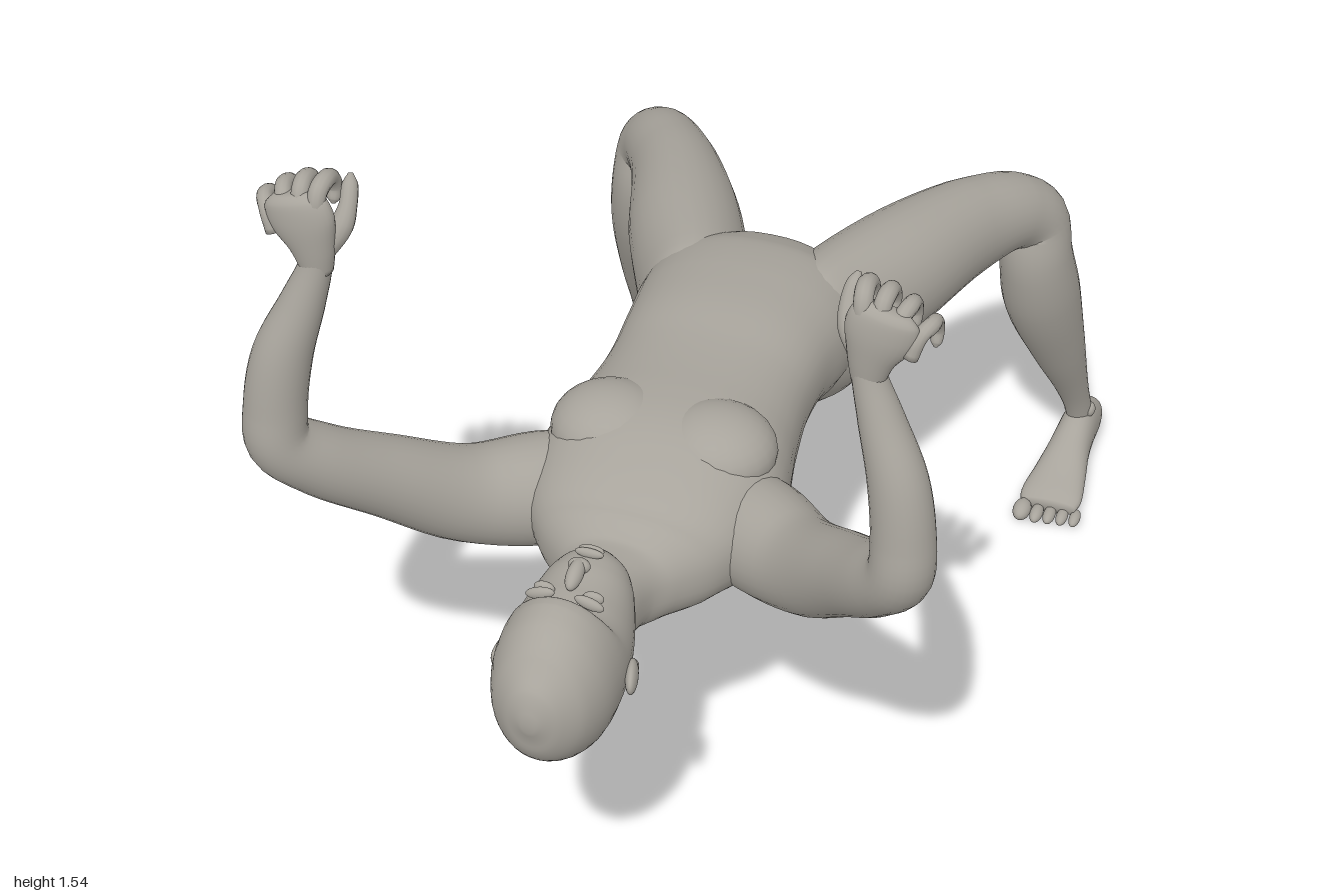
import * as THREE from 'three';

const skin = new THREE.MeshStandardMaterial({ color: 0xa8a49c });
skin.name = 'warm grey';

// Smooth skin over oval sections [x, y, z, radius along ref, radius across];
// side mirrors in x, power above 2 makes the ovals boxier.
function loft(name, rows, ref, { side = 1, power = 2, steps = 5, around = 28 } = {}) {
  const path = new THREE.CatmullRomCurve3(rows.map(r => new THREE.Vector3(r[0] * side, r[1], r[2])));
  const radii = new THREE.CatmullRomCurve3(
    rows.map(r => new THREE.Vector3(r[3], r[4], 0)), false, 'catmullrom', 0.5);
  const refDir = new THREE.Vector3(ref[0] * side, ref[1], ref[2]);
  const n = (rows.length - 1) * steps;
  const pos = [], index = [];
  const bend = v => Math.sign(v) * Math.abs(v) ** (2 / power);
  for (let i = 0; i <= n; i++) {
    const p = path.getPoint(i / n), t = path.getTangent(i / n), r = radii.getPoint(i / n);
    const a = refDir.clone().addScaledVector(t, -refDir.dot(t)).normalize();
    const b = t.clone().cross(a);
    for (let j = 0; j < around; j++) {
      const w = (j / around) * Math.PI * 2;
      const q = p.clone().addScaledVector(a, bend(Math.cos(w)) * r.x).addScaledVector(b, bend(Math.sin(w)) * r.y);
      pos.push(q.x, q.y, q.z);
      if (i < n) {
        const k = i * around + j, l = i * around + (j + 1) % around;
        index.push(k, l, k + around, l, l + around, k + around);
      }
    }
  }
  // Rounded-off ends
  const first = path.getPoint(0), last = path.getPoint(1), c = pos.length / 3;
  pos.push(first.x, first.y, first.z, last.x, last.y, last.z);
  for (let j = 0; j < around; j++) {
    const k = (j + 1) % around;
    index.push(c, k, j, c + 1, n * around + j, n * around + k);
  }
  const g = new THREE.BufferGeometry();
  g.setAttribute('position', new THREE.Float32BufferAttribute(pos, 3));
  g.setIndex(index);
  g.computeVertexNormals();
  const mesh = new THREE.Mesh(g, skin);
  mesh.name = name;
  return mesh;
}

function ball(name, x, y, z, rx, ry, rz) {
  const mesh = new THREE.Mesh(new THREE.SphereGeometry(1, 24, 16), skin);
  mesh.position.set(x, y, z);
  mesh.scale.set(rx, ry, rz);
  mesh.name = name;
  return mesh;
}

const X = [1, 0, 0];

function makeTorso() {
  const g = new THREE.Group();
  g.name = 'torso';
  // z, underside, top, half width from neck to crotch
  const rows = [
    [0.80, 0.70, 0.84, 0.06], [0.70, 0.695, 0.845, 0.068], [0.63, 0.688, 0.835, 0.078],
    [0.58, 0.67, 0.835, 0.108], [0.53, 0.65, 0.855, 0.158], [0.48, 0.636, 0.885, 0.195],
    [0.42, 0.63, 0.908, 0.212], [0.35, 0.63, 0.926, 0.22], [0.28, 0.633, 0.928, 0.212],
    [0.20, 0.645, 0.924, 0.197], [0.10, 0.665, 0.922, 0.186], [0, 0.67, 0.928, 0.19],
    [-0.10, 0.645, 0.922, 0.202], [-0.20, 0.635, 0.905, 0.2], [-0.27, 0.66, 0.875, 0.15],
    [-0.315, 0.71, 0.82, 0.07],
  ].map(([z, lo, hi, w]) => [0, (lo + hi) / 2, z, w, (hi - lo) / 2]);
  g.add(loft('trunkAndNeck', rows, X, { power: 2.3, around: 40 }));
  for (const s of [-1, 1]) g.add(ball('chestMuscle', s * 0.095, 0.865, 0.33, 0.105, 0.073, 0.1));
  return g;
}

function makeHead() {
  const g = new THREE.Group();
  g.name = 'head';
  // z, centre height, half width, half depth from crown to chin
  const rows = [
    [0.999, 0.787, 0.012, 0.015], [0.985, 0.787, 0.046, 0.062], [0.95, 0.784, 0.08, 0.108],
    [0.90, 0.781, 0.1, 0.14], [0.85, 0.78, 0.105, 0.149], [0.80, 0.787, 0.102, 0.138],
    [0.75, 0.812, 0.092, 0.106], [0.70, 0.84, 0.074, 0.073], [0.67, 0.853, 0.054, 0.05],
    [0.65, 0.86, 0.024, 0.022],
  ].map(([z, y, w, d]) => [0, y, z, w, d]);
  g.add(loft('skull', rows, X, { around: 36 }));
  const nose = ball('nose', 0, 0.918, 0.77, 0.014, 0.016, 0.032);
  nose.rotation.x = 0.25;
  g.add(nose, ball('noseTip', 0, 0.92, 0.75, 0.019, 0.014, 0.013));
  g.add(ball('upperLip', 0, 0.908, 0.703, 0.025, 0.009, 0.007));
  g.add(ball('lowerLip', 0, 0.906, 0.692, 0.022, 0.009, 0.007));
  for (const s of [-1, 1]) {
    g.add(ball('eye', s * 0.042, 0.903, 0.8, 0.018, 0.012, 0.008));
    const brow = ball('brow', s * 0.042, 0.908, 0.82, 0.026, 0.011, 0.008);
    brow.rotation.z = -s * 0.3;
    g.add(brow);
    const ear = ball('ear', s * 0.11, 0.766, 0.815, 0.011, 0.024, 0.036);
    ear.rotation.y = s * 0.25;
    g.add(ear, ball('earLobe', s * 0.103, 0.76, 0.788, 0.009, 0.014, 0.014));
  }
  return g;
}

function makeArm(side) {
  const g = new THREE.Group();
  g.name = side > 0 ? 'leftArm' : 'rightArm';
  g.add(loft('upperArmAndForearm', [
    [0.11, 0.76, 0.35, 0.08, 0.09], [0.2, 0.763, 0.41, 0.096, 0.1], [0.3, 0.79, 0.49, 0.08, 0.087],
    [0.4, 0.88, 0.59, 0.068, 0.072], [0.48, 0.965, 0.68, 0.06, 0.062], [0.528, 1.03, 0.725, 0.055, 0.055],
    [0.53, 1.1, 0.722, 0.052, 0.053], [0.515, 1.2, 0.71, 0.048, 0.05], [0.48, 1.3, 0.692, 0.037, 0.037],
    [0.455, 1.38, 0.682, 0.027, 0.026], [0.455, 1.42, 0.68, 0.028, 0.022],
  ], [-0.68, 0, 0.73], { side }));

  const hand = new THREE.Group();
  hand.name = 'hand';
  hand.add(loft('palm', [
    [0.454, 1.36, 0.682, 0.026, 0.024], [0.46, 1.41, 0.684, 0.04, 0.027],
    [0.472, 1.455, 0.686, 0.057, 0.027], [0.482, 1.49, 0.686, 0.054, 0.022],
    [0.486, 1.505, 0.684, 0.035, 0.012],
  ], X, { side }));
  // Loosely curled fingers fanning outward
  for (let i = 0; i < 4; i++) {
    const x = 0.444 + i * 0.03, y = 1.5 - i * i * 0.0055, r = 0.0155 - i * 0.0008, f = (i - 0.5) * 0.005;
    hand.add(loft('finger', [
      [x - f, y - 0.025, 0.69, r, r], [x, y + 0.012, 0.682, r, r], [x + f, y + 0.021, 0.66, r, r],
      [x + f, y + 0.012, 0.636, r * 0.9, r * 0.9], [x + f, y - 0.012, 0.624, r * 0.85, r * 0.85],
      [x + f, y - 0.032, 0.63, r * 0.7, r * 0.7], [x + f, y - 0.04, 0.634, r * 0.2, r * 0.2],
    ], X, { side, around: 12, steps: 4 }));
  }
  hand.add(loft('thumb', [
    [0.443, 1.4, 0.675, 0.02, 0.02], [0.418, 1.44, 0.66, 0.02, 0.019], [0.411, 1.47, 0.645, 0.015, 0.015],
    [0.414, 1.497, 0.625, 0.013, 0.013], [0.417, 1.51, 0.613, 0.004, 0.004],
  ], X, { side, around: 14 }));
  g.add(hand);
  return g;
}

function makeLeg(side) {
  const g = new THREE.Group();
  g.name = side > 0 ? 'leftLeg' : 'rightLeg';
  g.add(loft('thighAndShin', [
    [0.098, 0.768, -0.06, 0.075, 0.1], [0.118, 0.755, -0.18, 0.1, 0.14], [0.2, 0.763, -0.38, 0.108, 0.118],
    [0.285, 0.752, -0.57, 0.086, 0.096], [0.35, 0.734, -0.675, 0.073, 0.076], [0.384, 0.695, -0.718, 0.068, 0.07],
    [0.395, 0.62, -0.715, 0.069, 0.073], [0.406, 0.5, -0.747, 0.072, 0.078], [0.432, 0.33, -0.812, 0.052, 0.055],
    [0.453, 0.19, -0.872, 0.032, 0.033], [0.464, 0.11, -0.9, 0.024, 0.028], [0.465, 0.06, -0.91, 0.024, 0.03],
  ], [0.88, 0, 0.47], { side }));

  const foot = new THREE.Group();
  foot.name = 'foot';
  foot.add(loft('heelAndInstep', [
    [0.467, 0.042, -0.998, 0.012, 0.014], [0.467, 0.045, -0.985, 0.028, 0.033], [0.466, 0.052, -0.95, 0.035, 0.045],
    [0.465, 0.061, -0.9, 0.037, 0.055], [0.462, 0.052, -0.84, 0.042, 0.045], [0.46, 0.036, -0.77, 0.054, 0.031],
    [0.458, 0.026, -0.715, 0.062, 0.022], [0.458, 0.021, -0.685, 0.055, 0.015],
  ], X, { side, power: 2.2 }));
  // Toes from big to small
  for (let i = 0; i < 5; i++) {
    const r = i === 0 ? 0.018 : 0.0135 - i * 0.0006;
    foot.add(ball('toe', side * (0.41 + i * 0.0255 + (i ? 0.004 : 0)), r, -0.667 - i * 0.003, r, r, 0.029 - i * 0.001));
  }
  for (const s of [-1, 1]) foot.add(ball('ankleBone', side * (0.465 + s * 0.02), 0.115, -0.903, 0.012, 0.016, 0.015));
  g.add(foot);
  return g;
}

export function createModel() {
  const model = new THREE.Group();
  model.name = 'recliningFigure';
  model.add(makeTorso(), makeHead());
  for (const side of [-1, 1]) model.add(makeArm(side), makeLeg(side));
  return model;
}
